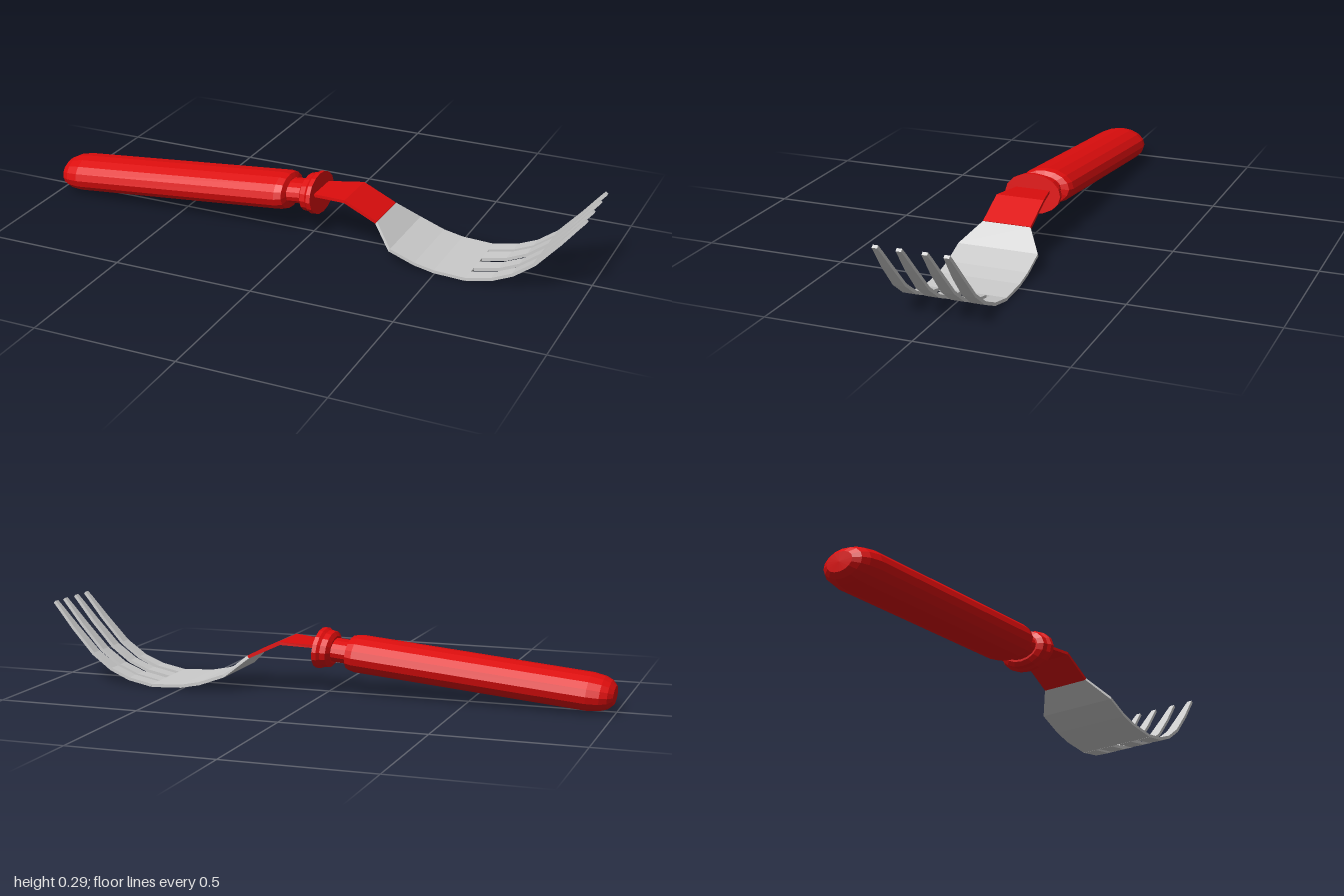
import * as THREE from 'three';

const red = new THREE.MeshStandardMaterial({ color: 0xdd0d0d, flatShading: true });
red.name = 'red handle';
const silver = new THREE.MeshStandardMaterial({ color: 0xcbcbcb, flatShading: true });
silver.name = 'silver metal';

// Bent flat bar through sections [x, y, zMin, zMax], thick across its path
function strip(name, sections, material, thick = 0.011) {
  const rings = sections.map(([x, y, z0, z1], i) => {
    const a = sections[Math.max(i - 1, 0)], b = sections[Math.min(i + 1, sections.length - 1)];
    const len = Math.hypot(b[0] - a[0], b[1] - a[1]);
    const nx = -(b[1] - a[1]) / len * thick / 2, ny = (b[0] - a[0]) / len * thick / 2;
    return [
      [x + nx, y + ny, z0], [x + nx, y + ny, z1],
      [x - nx, y - ny, z1], [x - nx, y - ny, z0],
    ];
  });
  const pos = [];
  const quad = (a, b, c, d) => pos.push(...a, ...b, ...c, ...a, ...c, ...d);
  for (let i = 0; i < rings.length - 1; i++) {
    for (let k = 0; k < 4; k++) {
      const n = (k + 1) % 4;
      quad(rings[i][k], rings[i][n], rings[i + 1][n], rings[i + 1][k]);
    }
  }
  const [a, b, c, d] = rings[0], [e, f, g, h] = rings[rings.length - 1];
  quad(d, c, b, a);
  quad(e, f, g, h);
  const geo = new THREE.BufferGeometry();
  geo.setAttribute('position', new THREE.Float32BufferAttribute(pos, 3));
  geo.computeVertexNormals();
  const mesh = new THREE.Mesh(geo, material);
  mesh.name = name;
  return mesh;
}

// Turned part along the handle axis, flattened in height
function turned(name, profile, flatten) {
  const geo = new THREE.LatheGeometry(profile.map(([r, u]) => new THREE.Vector2(r, u)), 16);
  geo.rotateZ(-Math.PI / 2);
  geo.scale(1, flatten, 1);
  const mesh = new THREE.Mesh(geo, red);
  mesh.name = name;
  return mesh;
}

export function createModel() {
  const model = new THREE.Group();
  model.name = 'fork';

  // Handle, neck and collar share one tilted axis
  const handle = new THREE.Group();
  handle.name = 'handle';
  handle.add(
    turned('grip', [[0, -1.0], [0.05, -0.998], [0.075, -0.982], [0.09, -0.958], [0.099, -0.915],
      [0.1, -0.11], [0.092, -0.085], [0.066, -0.078], [0, -0.078]], 0.64),
    turned('neck', [[0, -0.09], [0.064, -0.09], [0.064, -0.015], [0, -0.015]], 0.64),
    turned('collar', [[0, -0.025], [0.07, -0.025], [0.09, -0.015], [0.093, 0.005],
      [0.102, 0.015], [0.102, 0.03], [0, 0.03]], 0.69),
  );
  handle.rotation.z = 0.095;
  handle.position.set(0, 0.163, 0);
  model.add(handle);

  // Red shank between collar and metal
  model.add(strip('shank', [
    [0.02, 0.178, -0.06, 0.06], [0.15, 0.187, -0.088, 0.083], [0.268, 0.132, -0.088, 0.083],
  ], red));

  // Curved metal head
  const w = 0.142;
  model.add(strip('head', [
    [0.268, 0.132, -0.088, 0.083], [0.34, 0.07, -w, w], [0.43, 0.037, -w, w],
    [0.5, 0.023, -w, w], [0.612, 0.018, -w, w],
  ], silver));

  // Four tapering tines: base centre and tip centre in z
  const path = [[0.612, 0.018, 0.026], [0.7, 0.036, 0.0255], [0.77, 0.066, 0.0235],
    [0.84, 0.117, 0.0215], [0.92, 0.205, 0.0175], [0.97, 0.265, 0.012], [0.995, 0.294, 0.009]];
  [[0.115, 0.115], [0.036, 0.037], [-0.048, -0.046], [-0.116, -0.116]].forEach(([zb, zt], i) => {
    model.add(strip('tine' + (i + 1), path.map(([x, y, h], j) => {
      const z = zb + (zt - zb) * j / (path.length - 1);
      return [x, y, z - h, z + h];
    }), silver));
  });
  return model;
}
